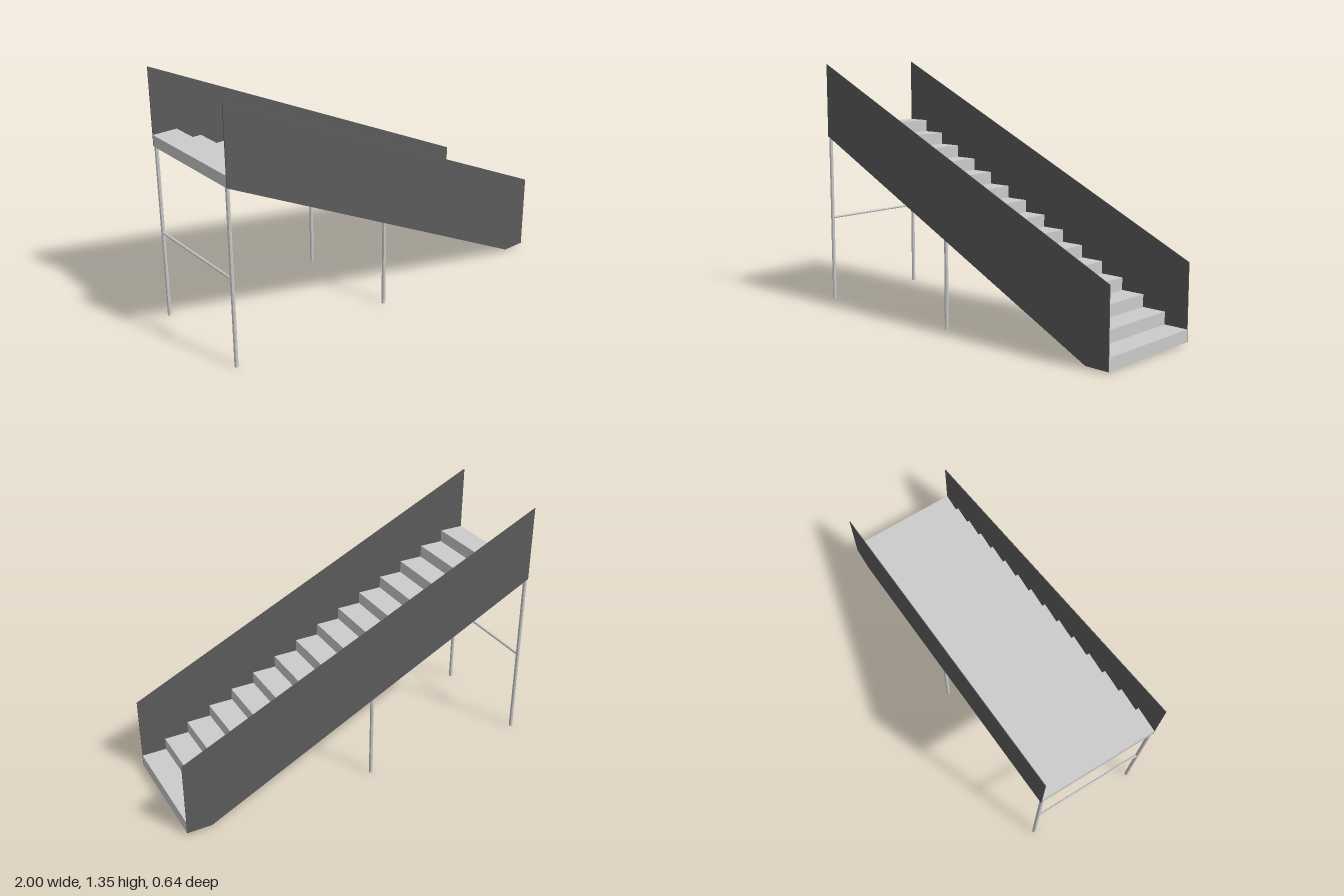
import * as THREE from 'three';

const STEPS = 15, RUN = 2 / STEPS, BASE = 0.008, RISE = (1 - BASE) / STEPS;
const HALF_WIDTH = 0.318, PANEL = 0.004, POST_R = 0.01;
const TOE_X = 1 - RUN, BACK_Y = 0.94; // ends of the sloping underside

const grey = new THREE.MeshStandardMaterial({ color: 0xcccccc, flatShading: true });
const dark = new THREE.MeshStandardMaterial({ color: 0x5c5c5c, flatShading: true });

// Extrudes an x/y outline along z, centred on z = 0
function slab(points, depth) {
  const shape = new THREE.Shape(points.map(([x, y]) => new THREE.Vector2(x, y)));
  return new THREE.ExtrudeGeometry(shape, { depth, bevelEnabled: false }).translate(0, 0, -depth / 2);
}

function add(parent, name, geometry, material, x = 0, y = 0, z = 0) {
  const mesh = new THREE.Mesh(geometry, material);
  mesh.name = name;
  mesh.position.set(x, y, z);
  parent.add(mesh);
  return mesh;
}

export function createModel() {
  const group = new THREE.Group();
  group.name = 'staircase';

  // Solid flight: sloping soffit below, steps climbing towards -x
  const outline = [[-1, BACK_Y], [TOE_X, BASE], [1, BASE]];
  for (let i = 0; i < STEPS; i++) {
    const y = BASE + (i + 1) * RISE;
    outline.push([1 - i * RUN, y], [1 - (i + 1) * RUN, y]);
  }
  add(group, 'steps', slab(outline, 2 * HALF_WIDTH - PANEL), grey);

  // Side panels
  const panel = slab([[-1, BACK_Y], [TOE_X, BASE], [1, BASE], [1, 0.413], [-1, 1.345]], PANEL);
  // Support posts, reaching up to the soffit
  for (const [side, s] of [['left', -1], ['right', 1]]) {
    add(group, side === 'left' ? 'backPanel' : 'frontPanel', panel, dark, 0, 0, s * HALF_WIDTH);
    for (const [name, x] of [['upperPost', -1 + POST_R], ['middlePost', -0.06]]) {
      const top = BACK_Y - (x + 1) * (BACK_Y - BASE) / (TOE_X + 1) + 0.004;
      const post = new THREE.CylinderGeometry(POST_R, POST_R, top, 8);
      add(group, name, post, grey, x, top / 2, s * (HALF_WIDTH - POST_R));
    }
  }

  // Crossbar between the upper posts
  const bar = new THREE.CylinderGeometry(0.007, 0.007, 2 * (HALF_WIDTH - POST_R), 8).rotateX(Math.PI / 2);
  add(group, 'crossbar', bar, grey, -1 + POST_R, 0.475, 0);

  return group;
}
